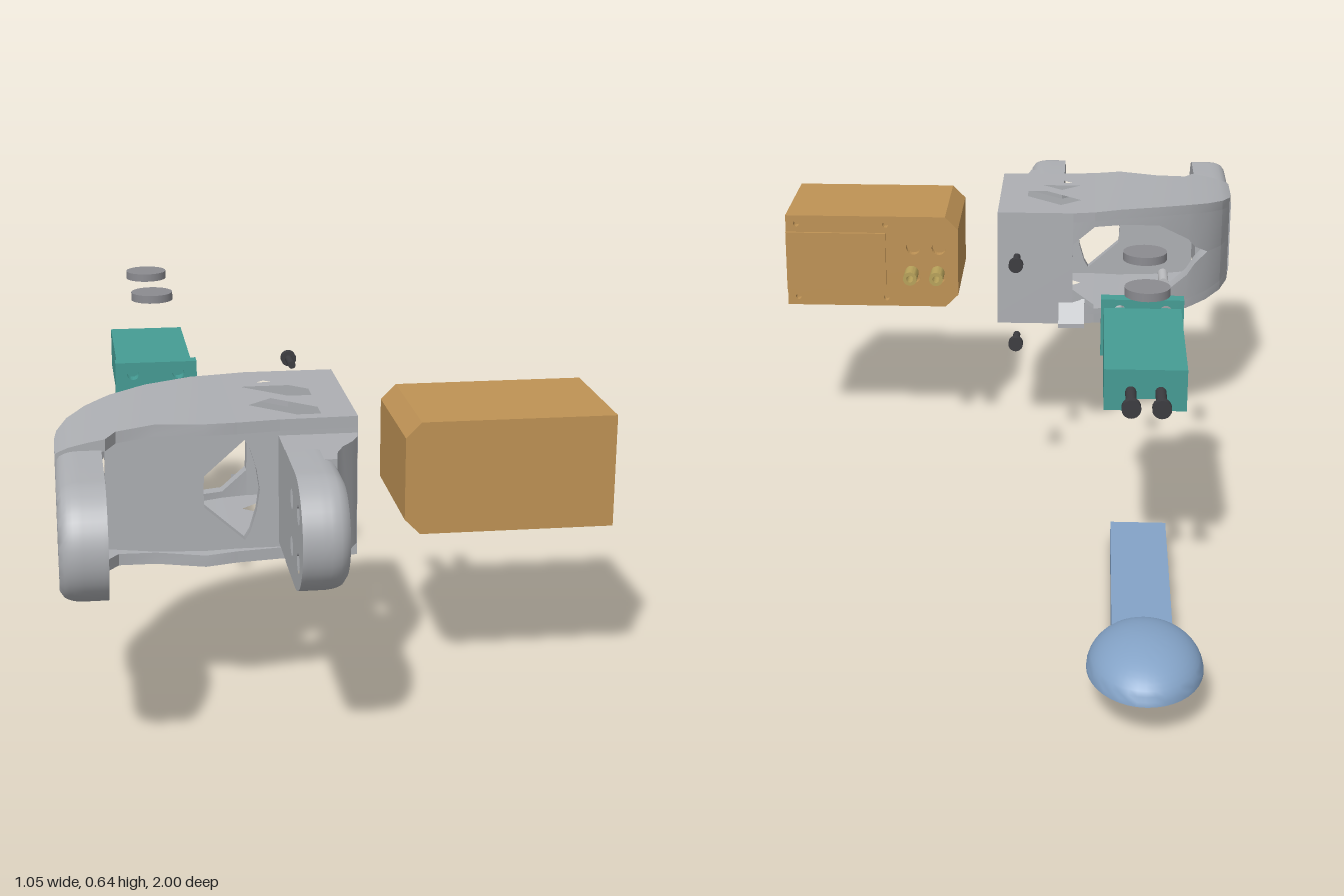
import * as THREE from 'three';
import { mergeGeometries, toCreasedNormals } from 'three/addons/utils/BufferGeometryUtils.js';

const C = 0.44; // height of the bracket's centre line

const mat = (name, color) => {
  const m = new THREE.MeshStandardMaterial({ color });
  m.name = name;
  return m;
};

// Prism from a 2D outline, pushed along an axis; outlines are [z,y] for x, [x,z] for y, [x,y] for z
function prism(axis, pts, start, depth, holes = [], steps = 1) {
  const conv = ([a, b]) => axis === 'x' ? new THREE.Vector2(-a, b) : axis === 'y' ? new THREE.Vector2(a, -b) : new THREE.Vector2(a, b);
  const shape = new THREE.Shape(pts.map(conv));
  holes.forEach(h => shape.holes.push(new THREE.Path(h.map(conv))));
  const g = new THREE.ExtrudeGeometry(shape, { depth, steps, bevelEnabled: false });
  if (axis === 'x') g.rotateY(Math.PI / 2).translate(start, 0, 0);
  else if (axis === 'y') g.rotateX(-Math.PI / 2).translate(0, start, 0);
  else g.translate(0, 0, start);
  return g;
}

const circle = (a, b, r, n = 20) => Array.from({ length: n }, (_, i) => {
  const t = i / n * Math.PI * 2;
  return [a + r * Math.cos(t), b + r * Math.sin(t)];
});

const box = (x0, x1, y0, y1, z0, z1) =>
  new THREE.BoxGeometry(x1 - x0, y1 - y0, z1 - z0).translate((x0 + x1) / 2, (y0 + y1) / 2, (z0 + z1) / 2);

// Row of blocks joining rectangular sections {x, y0, y1, z0, z1}
function loft(sections) {
  const blocks = [];
  for (let i = 0; i + 1 < sections.length; i++) {
    const g = new THREE.BoxGeometry(1, 1, 1), p = g.attributes.position;
    for (let k = 0; k < p.count; k++) {
      const s = sections[p.getX(k) > 0 ? i + 1 : i];
      p.setXYZ(k, s.x, p.getY(k) > 0 ? s.y1 : s.y0, p.getZ(k) > 0 ? s.z1 : s.z0);
    }
    blocks.push(g);
  }
  return toCreasedNormals(mergeGeometries(blocks), 0.6);
}

// Round-ended fork arm with four holes and a softened outer edge
function arm(zBase, xInner, depth, side) {
  const R = 0.105, zc = 0.895, pts = [];
  for (let i = 0; i <= 20; i++) {
    const a = -Math.PI / 2 + i / 20 * Math.PI;
    pts.push([zc + R * Math.cos(a), C + R * Math.sin(a)]);
  }
  pts.push([zBase, C + R], [zBase, C - R]);
  const holes = [];
  for (const dz of [-0.043, 0.045]) for (const dy of [-0.044, 0.044]) holes.push(circle(zc + dz, C + dy, 0.018));
  const g = prism('x', pts, 0, depth, holes, 10), p = g.attributes.position;
  for (let k = 0; k < p.count; k++) {
    const u = side > 0 ? p.getX(k) : depth - p.getX(k);
    const over = Math.min(1, Math.max(0, (u - depth + 0.04) / 0.04));
    const zs = Math.min(p.getZ(k), zc), dz = p.getZ(k) - zs, dy = p.getY(k) - C;
    const d = Math.hypot(dz, dy);
    if (d > 0.1) {
      const f = (d - 0.02 * (1 - Math.sqrt(1 - over * over))) / d;
      p.setY(k, C + dy * f);
      p.setZ(k, zs + dz * f);
    }
  }
  g.translate(side > 0 ? xInner : xInner - depth, 0, 0);
  return toCreasedNormals(g, 0.6);
}

export function createModel() {
  const root = new THREE.Group();
  const grey = mat('bracket grey', 0xadafb3), orange = mat('motor orange', 0xbf9355);
  const teal = mat('channel teal', 0x459c94), blue = mat('blue', 0x84a3c7);
  const steel = mat('disc grey', 0x8b8b90), black = mat('screw black', 0x3c3c40);
  const silver = mat('pin silver', 0xbcbdc0), brass = mat('brass', 0xb8a25a);
  const add = (parent, name, geo, m) => {
    const mesh = new THREE.Mesh(geo, m);
    mesh.name = name;
    parent.add(mesh);
    return mesh;
  };
  const group = name => {
    const g = new THREE.Group();
    g.name = name;
    root.add(g);
    return g;
  };

  // Bracket stations: x, back edge z, half height, back window half height, front edge z
  const T = 0.022;
  const st = [
    [-0.53, 0.63, 0.1, 0, 0.72], [-0.525, 0.585, 0.104, 0, 0.72], [-0.505, 0.53, 0.112, 0, 0.72],
    [-0.47, 0.48, 0.12, 0, 0.72], [-0.44, 0.452, 0.125, 0.02, 0.72], [-0.42, 0.435, 0.128, 0.045, 0.685],
    [-0.35, 0.393, 0.134, 0.09, 0.67], [-0.26, 0.358, 0.137, 0.1, 0.69], [-0.2, 0.34, 0.135, 0.1, 0.68],
    [-0.15, 0.33, 0.135, 0.06, 0.67], [-0.149, 0.33, 0.135, 0, 0.67], [0.025, 0.33, 0.135, 0, 0.665]];
  // Front wall stations: x, half height, window half height
  const fw = [[-0.44, 0.125, 0], [-0.35, 0.134, 0], [-0.261, 0.137, 0], [-0.26, 0.137, 0.03], [-0.185, 0.135, 0.097],
    [-0.175, 0.135, 0.08], [-0.163, 0.135, 0.04], [-0.157, 0.135, 0], [0.025, 0.135, 0]];
  const bracket = group('bracket');
  const slots = [0, 0.128].map(d => [[-0.167, 0.44 + d], [-0.12, 0.397 + d], [-0.04, 0.468 + d], [-0.04, 0.513 + d], [-0.085, 0.513 + d]]);
  const plate = [[-0.2, 0.34], [-0.15, 0.33], [0.025, 0.33], [0.025, 0.665], [-0.12, 0.67], [-0.2, 0.68]];
  for (const s of [1, -1]) {
    const span = (a, b) => s > 0 ? { y0: C + a, y1: C + b } : { y0: C - b, y1: C - a };
    const label = s > 0 ? 'upper' : 'lower';
    add(bracket, label + 'CurvedPlate', loft(st.slice(0, 9).map(([x, zb, h, , zf]) => ({ x, z0: zb, z1: zf, ...span(h - T, h) }))), grey);
    add(bracket, label + 'SlottedPlate', prism('y', plate, span(0.135 - T, 0.135).y0, T, slots), grey);
    add(bracket, label + 'BackWall', loft(st.map(([x, zb, h, w]) => ({
      x, z0: zb, z1: zb + 0.028 + Math.max(0, -0.3 - x) * 0.2, ...span(w, h - T) }))), grey);
    add(bracket, label + 'FrontWall', loft(fw.map(([x, h, w]) => ({ x, z0: 0.643, z1: 0.665, ...span(w, h - T) }))), grey);
  }
  add(bracket, 'leftFork', arm(0.6, -0.447, 0.083, -1), grey);
  add(bracket, 'rightFork', arm(0.76, -0.122, 0.085, 1), grey);
  add(bracket, 'forkFlare', toCreasedNormals(prism('y', [[-0.122, 0.66], [0.025, 0.66], [0.02, 0.69], [0.005, 0.72],
    [-0.015, 0.745], [-0.03, 0.78], [-0.037, 0.82], [-0.122, 0.82]], 0.337, 0.206), 0.6), grey);
  add(bracket, 'backLug', prism('x', [[0.335, 0.305], [0.3, 0.305], [0.3, 0.315], [0.335, 0.365]], -0.178, 0.06), grey);
  for (const s of [1, -1]) {
    const hook = [[0.053, 0.308], [0.053, 0.262], [0.012, 0.262], [0.012, 0.274], [0.028, 0.283], [0.026, 0.293], [0.014, 0.308]];
    add(bracket, 'clipHook', prism('z', hook.map(([x, y]) => [-0.312 + s * x, y]), 0.455, 0.095), grey);
  }

  // Motor with chamfered end, sunken holes and a cover plate on the back
  const motor = group('motor');
  const profile = [[0.12, 0.36], [0.15, 0.33], [0.525, 0.33], [0.525, 0.55], [0.15, 0.55], [0.12, 0.52]];
  const holes = [];
  for (const x of [0.165, 0.225]) for (const y of [0.405, 0.475]) holes.push(circle(x, y, 0.017));
  for (const y of [0.35, 0.53]) for (const x of [0.29, 0.5]) holes.push(circle(x, y, 0.007, 12));
  add(motor, 'motorBody', prism('z', profile, 0.385, 0.255), orange);
  add(motor, 'motorBackFace', prism('z', profile, 0.367, 0.018, holes), orange);
  add(motor, 'motorCover', box(0.29, 0.525, 0.37, 0.51, 0.36, 0.367), orange);

  // Channel, open underneath, with a drilled flange in front
  const channel = group('channel');
  const X = -0.303;
  add(channel, 'channelTop', box(-0.385, -0.221, 0.465, 0.486, -0.43, -0.065), teal);
  for (const s of [1, -1])
    add(channel, 'channelSide', box(X + s * 0.071 - 0.011, X + s * 0.071 + 0.011, 0.4, 0.466, -0.43, -0.065), teal);
  add(channel, 'channelBack', prism('z', [[-0.365, 0.466], [-0.365, 0.4], [-0.335, 0.4], [-0.335, 0.425],
    [-0.271, 0.425], [-0.271, 0.4], [-0.241, 0.4], [-0.241, 0.466]], -0.43, 0.03), teal);
  add(channel, 'channelFlange', prism('z', [[-0.391, 0.378], [-0.215, 0.378], [-0.215, 0.505], [-0.391, 0.505]], -0.07, 0.032,
    [[-0.353, 0.48], [-0.255, 0.48], [-0.353, 0.4], [-0.255, 0.4]].map(([x, y]) => circle(x, y, 0.013))), teal);
  for (const z of [-0.37, -0.145]) {
    add(channel, 'magnetSeat', new THREE.CylinderGeometry(0.05, 0.05, 0.02, 32).translate(X, 0.457, z), teal);
    add(root, 'magnetDisc', new THREE.CylinderGeometry(0.045, 0.045, 0.017, 32).translate(X, 0.629, z), steel);
  }

  // Rods lying along z, used for pins, inserts and screws
  const rod = (r, x, y, z0, z1) => new THREE.CylinderGeometry(r, r, z1 - z0, 20).rotateX(Math.PI / 2).translate(x, y, (z0 + z1) / 2);
  for (const [x, y] of [[-0.353, 0.482], [-0.254, 0.4]]) add(root, 'pin', rod(0.011, x, y, 0.113, 0.183), silver);
  for (const x of [0.162, 0.222]) {
    const ring = prism('z', circle(x, C, 0.016), 0.239, 0.05, [circle(x, C, 0.008)]);
    add(root, 'threadedInsert', toCreasedNormals(ring, 0.6), brass);
  }
  const screw = (x, y, zTip, zHead, r, rh) => {
    const g = group('screw');
    add(g, 'screwShaft', rod(r, x, y, zHead, zTip), black);
    add(g, 'screwHead', rod(rh, x, y, zHead - 0.001, zHead + 0.014), black);
  };
  for (const x of [-0.333, -0.274]) screw(x, C, -0.43, -0.522, 0.011, 0.019);
  for (const y of [0.35, 0.533]) screw(-0.028, y, 0.13, 0.064, 0.008, 0.016);

  // Handle bar and hollow domed cap
  add(root, 'handleBar', box(-0.36, -0.243, 0, 0.05, -0.728, -0.207), blue);
  const prof = [];
  for (let i = 0; i <= 12; i++) {
    const a = Math.PI / 2 * (1 - i / 12);
    prof.push(new THREE.Vector2(0.87 * Math.cos(a), 0.8 * Math.sin(a)));
  }
  for (let i = 0; i <= 12; i++) {
    const a = Math.PI / 2 * i / 12;
    prof.push(new THREE.Vector2(Math.cos(a), Math.sin(a)));
  }
  const dome = new THREE.LatheGeometry(prof, 40).scale(0.107, 0.069, 0.1425).translate(-0.302, 0.071, -0.8575);
  add(root, 'domeCap', toCreasedNormals(dome, 0.7), blue);
  return root;
}
